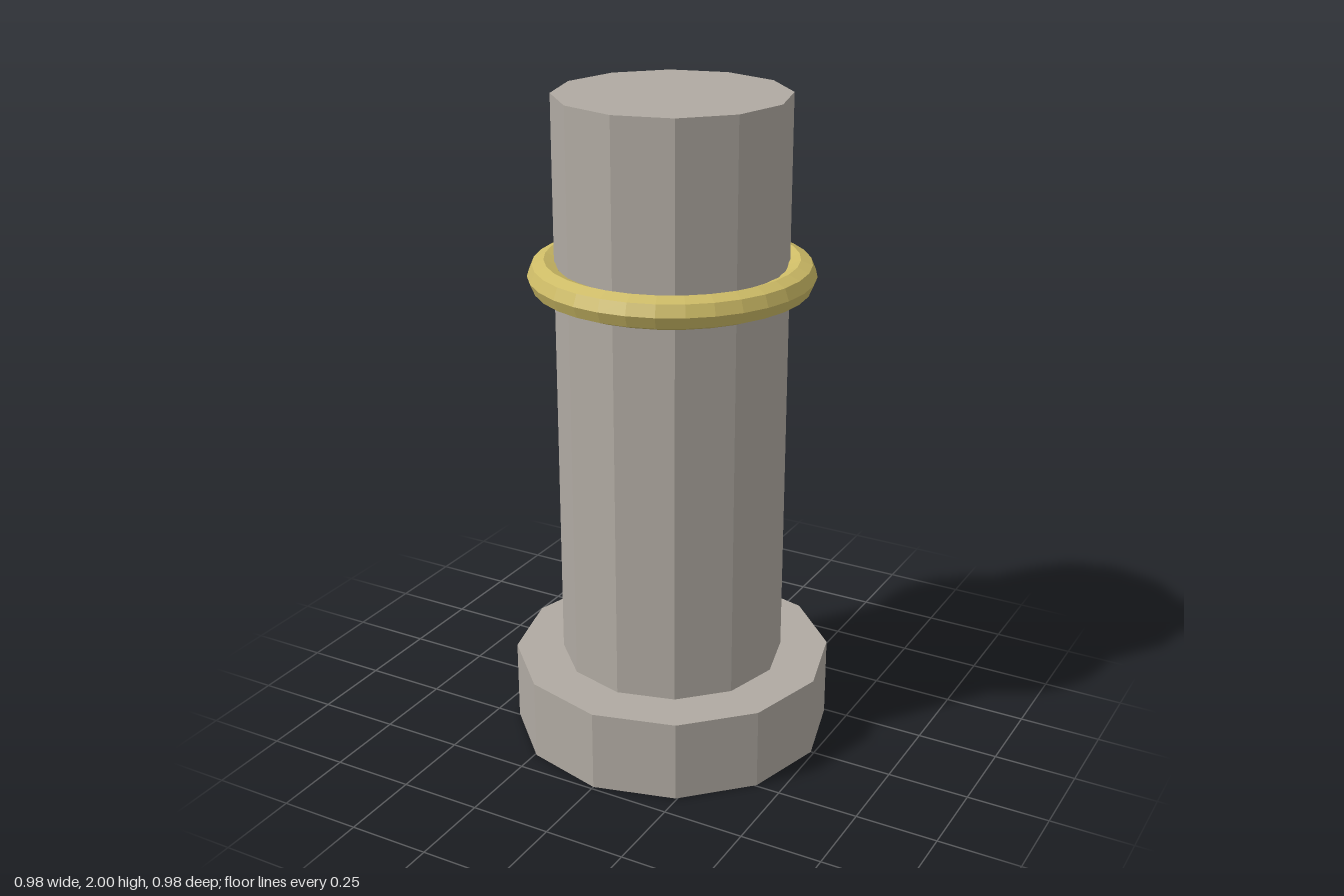
import * as THREE from 'three';

export function createModel() {
  const group = new THREE.Group();
  const stone = new THREE.MeshStandardMaterial({ color: 0xb0aaa2, flatShading: true });
  stone.name = 'grey stone';
  const gold = new THREE.MeshStandardMaterial({ color: 0xcdbb66, flatShading: true });
  gold.name = 'pale gold';

  const add = (name, geometry, material, y) => {
    const mesh = new THREE.Mesh(geometry, material);
    mesh.name = name;
    mesh.position.y = y;
    group.add(mesh);
  };

  // Twelve-sided drum between two heights
  const drum = (name, radius, bottom, top) =>
    add(name, new THREE.CylinderGeometry(radius, radius, top - bottom, 12), stone, (bottom + top) / 2);

  drum('base', 0.49, 0, 0.25);
  drum('shaft', 0.343, 0.25, 2);

  // Ring around the upper shaft
  add('ring', new THREE.TorusGeometry(0.373, 0.049, 8, 32).rotateX(Math.PI / 2), gold, 1.475);

  return group;
}
